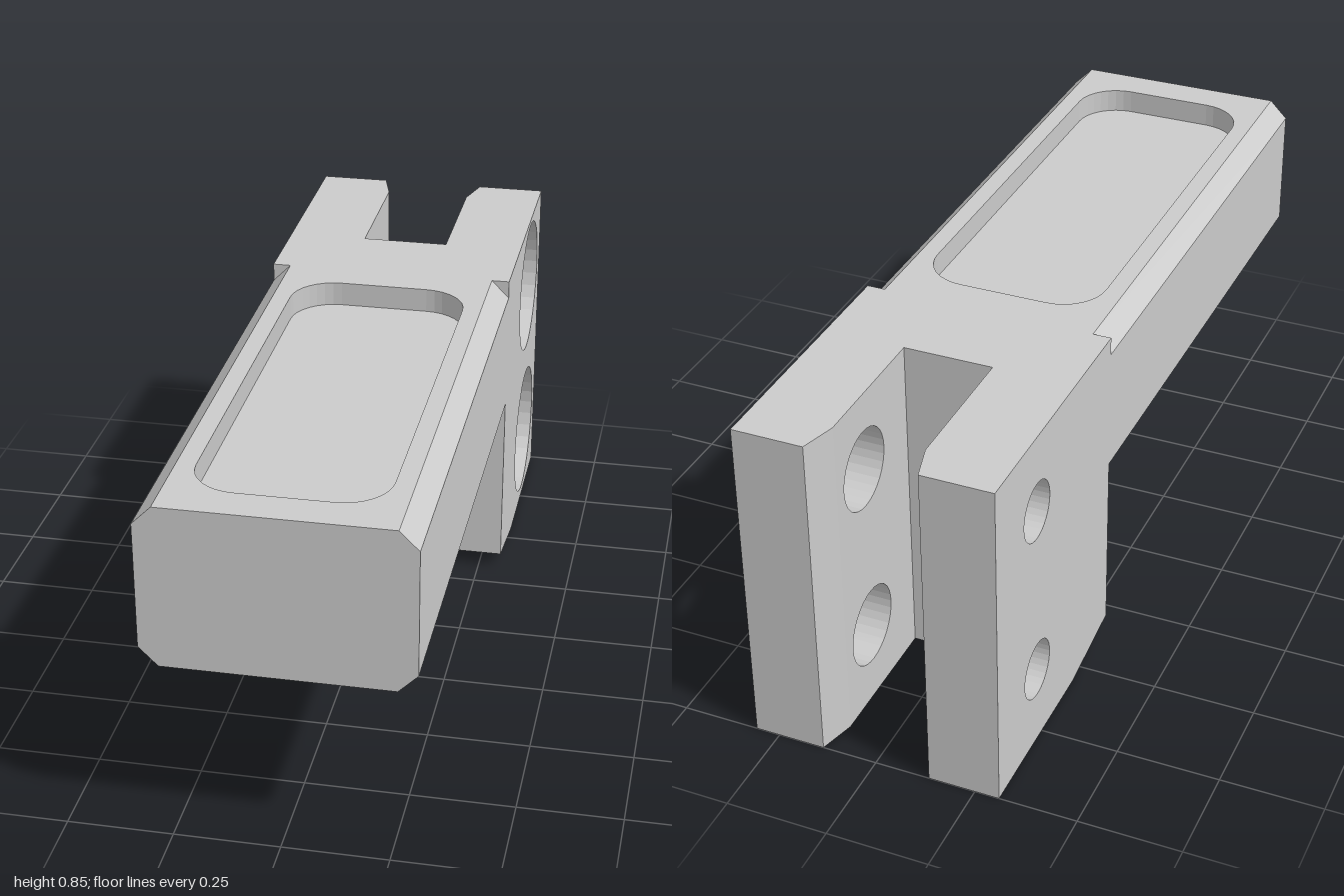
import * as THREE from 'three';

const material = new THREE.MeshStandardMaterial({ color: 0xcccccc, flatShading: true });

const HALF = 0.31, TOP = 0.845;          // half width and overall height
const ARM_BOTTOM = 0.45, CHAMFER = 0.045;
const FRONT = 1, STEP = -0.335;          // arm runs from STEP to FRONT in z
const SLOT = 0.11, SLOT_END = -0.555;    // fork slot half width and floor
const FLARE = -0.91, BACK = -1;          // slot widens towards the back
const POCKET_DEPTH = 0.06, BORE_DEPTH = 0.1;
const HOLE_Z = -0.775, HOLE_HEIGHTS = [0.205, 0.65];

function addMesh(group, name, geometry) {
  const mesh = new THREE.Mesh(geometry, material);
  mesh.name = name;
  group.add(mesh);
}

function polygon(points) {
  return new THREE.Shape(points.map(([x, y]) => new THREE.Vector2(x, y)));
}

// Pocket outline in plan: x, and -z as the second axis
function pocketPath() {
  const x = 0.22, y0 = -0.905, y1 = 0.245, r = 0.11;
  const path = new THREE.Path();
  path.absarc(x - r, y0 + r, r, -Math.PI / 2, 0);
  path.absarc(x - r, y1 - r, r, 0, Math.PI / 2);
  path.absarc(-x + r, y1 - r, r, Math.PI / 2, Math.PI);
  path.absarc(-x + r, y0 + r, r, Math.PI, Math.PI * 1.5);
  path.closePath();
  return path;
}

// Chamfered rim around a pocket, rising from y = 0
function pocketRim() {
  const shape = polygon([[-HALF, -FRONT], [HALF, -FRONT], [HALF, -STEP], [-HALF, -STEP]]);
  shape.holes.push(pocketPath());
  const geometry = new THREE.ExtrudeGeometry(shape, {
    depth: POCKET_DEPTH, steps: 2, bevelEnabled: false, curveSegments: 4,
  });
  const p = geometry.attributes.position;
  for (let i = 0; i < p.count; i++) {
    const z = p.getZ(i), x = p.getX(i);
    if (z > POCKET_DEPTH * 0.75) {
      if (Math.abs(x) > HALF - 0.001) p.setX(i, Math.sign(x) * (HALF - CHAMFER));
    } else if (z > POCKET_DEPTH * 0.25) {
      p.setZ(i, POCKET_DEPTH - CHAMFER);
    }
  }
  geometry.rotateX(-Math.PI / 2);
  geometry.computeVertexNormals();
  return geometry;
}

// Side profile of the mount from STEP back to zEnd, with bolt holes, between two x planes
function sidePlate(x0, x1, zEnd, holeRadius) {
  const shape = polygon([
    [-STEP, 0.04], [-SLOT_END, 0], [-zEnd, 0], [-zEnd, TOP], [-STEP, TOP],
  ].filter((pt, i) => !(i === 2 && zEnd === SLOT_END)));
  if (holeRadius) {
    for (const y of HOLE_HEIGHTS) {
      const hole = new THREE.Path();
      hole.absarc(-HOLE_Z, y, holeRadius, 0, Math.PI * 2, true);
      shape.holes.push(hole);
    }
  }
  const geometry = new THREE.ExtrudeGeometry(shape, {
    depth: x1 - x0, bevelEnabled: false, curveSegments: 16,
  });
  return geometry.rotateY(Math.PI / 2).translate(x0, 0, 0);
}

// Flared inner tip of a fork prong
function prongTip(side, xOuter) {
  const shape = polygon([
    [side * SLOT, -FLARE], [side * xOuter, -FLARE], [side * xOuter, -BACK], [side * 0.135, -BACK],
  ]);
  return new THREE.ExtrudeGeometry(shape, { depth: TOP, bevelEnabled: false }).rotateX(-Math.PI / 2);
}

export function createModel() {
  const model = new THREE.Group();
  model.name = 'forkedArm';

  // Arm: solid web between two chamfered pocket rims
  const arm = new THREE.Group();
  arm.name = 'arm';
  const webHeight = TOP - ARM_BOTTOM - 2 * POCKET_DEPTH;
  const web = new THREE.BoxGeometry(2 * HALF, webHeight, FRONT - STEP);
  web.translate(0, (TOP + ARM_BOTTOM) / 2, (FRONT + STEP) / 2);
  addMesh(arm, 'armWeb', web);
  addMesh(arm, 'upperPocketRim', pocketRim().translate(0, TOP - POCKET_DEPTH, 0));
  addMesh(arm, 'lowerPocketRim', pocketRim().rotateZ(Math.PI).translate(0, ARM_BOTTOM + POCKET_DEPTH, 0));
  model.add(arm);

  // Mount: centre block that closes the slot, with a prong on each side
  const mount = new THREE.Group();
  mount.name = 'forkMount';
  addMesh(mount, 'mountCore', sidePlate(-SLOT, SLOT, SLOT_END, 0));
  const split = HALF - BORE_DEPTH;

  // Left prong has counterbored holes, right prong has plain narrow ones
  addMesh(mount, 'leftProngOuter', sidePlate(split, HALF, BACK, 0.18));
  addMesh(mount, 'leftProngInner', sidePlate(SLOT, split, FLARE, 0.1));
  addMesh(mount, 'leftProngTip', prongTip(1, split));
  addMesh(mount, 'rightProngOuter', sidePlate(-HALF, -split, BACK, 0.073));
  addMesh(mount, 'rightProngInner', sidePlate(-split, -SLOT, FLARE, 0.073));
  addMesh(mount, 'rightProngTip', prongTip(-1, split));
  model.add(mount);

  return model;
}
